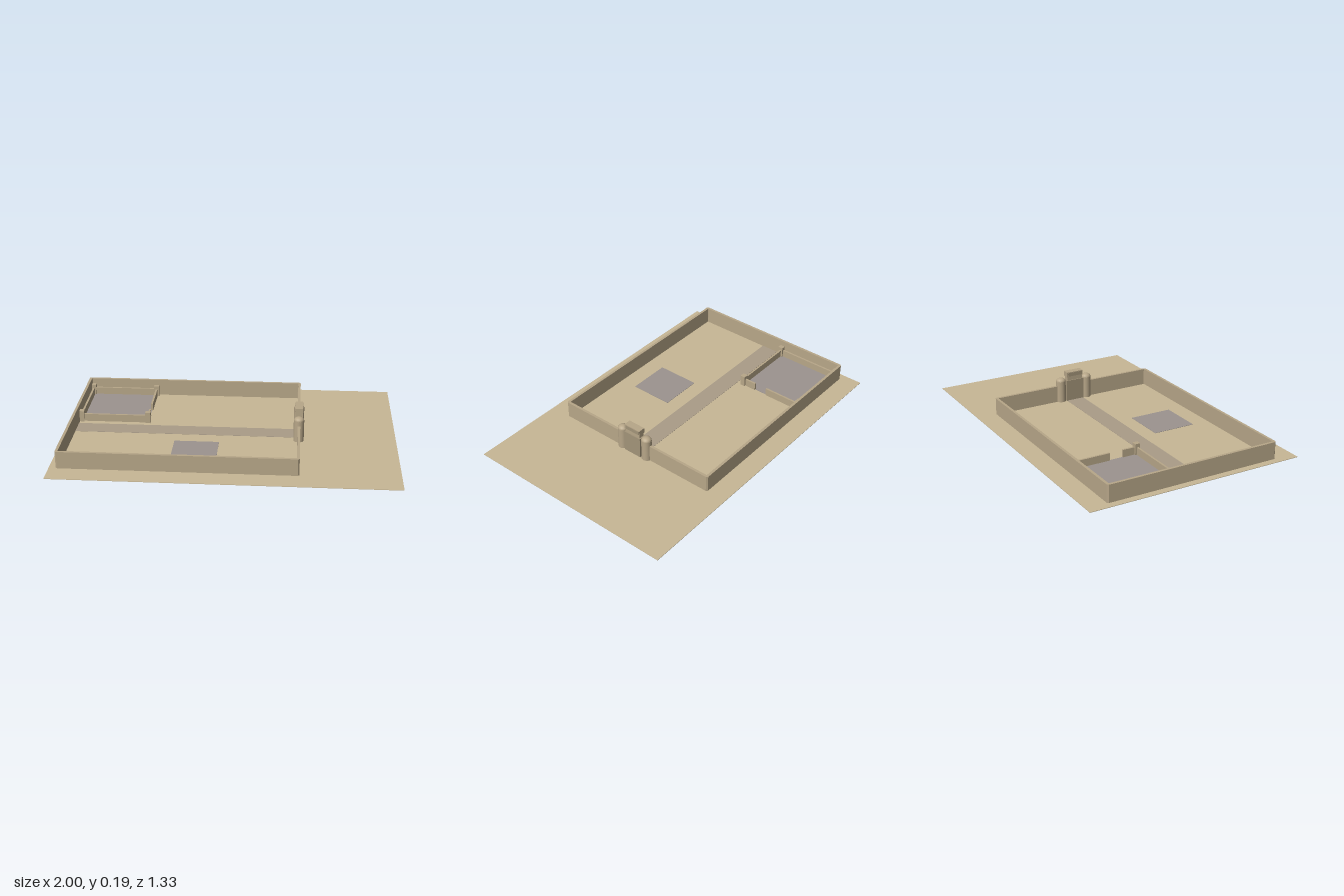
import * as THREE from 'three';

const mat = (color) => new THREE.MeshStandardMaterial({ color });

export function createModel() {
  const model = new THREE.Group();
  const sand = mat(0xc8b896), wall = mat(0xb8a789), path = mat(0xaa9c88);
  const stone = mat(0x9c948f), door = mat(0xa39479);

  function add(name, geometry, material, x, y, z, parent = model) {
    const mesh = new THREE.Mesh(geometry, material);
    mesh.name = name;
    mesh.position.set(x, y, z);
    parent.add(mesh);
    return mesh;
  }
  // box given by its x, y and z ranges
  function box(name, material, [x0, x1], [y0, y1], [z0, z1], parent) {
    return add(name, new THREE.BoxGeometry(x1 - x0, y1 - y0, z1 - z0), material,
      (x0 + x1) / 2, (y0 + y1) / 2, (z0 + z1) / 2, parent);
  }

  // ground, road and paved court
  box('ground', sand, [-1, 1], [0, 0.003], [-0.667, 0.667]);
  box('road', path, [-0.945, 0.412], [0.002, 0.0045], [-0.057, 0.057]);
  box('pavedCourt', stone, [-0.325, -0.057], [0.002, 0.005], [0.15, 0.418]);

  // outer wall: a ring with cut corners
  const outline = (Ctor, x0, x1, z, c) => new Ctor([
    [x0 + c, -z], [x1 - c, -z], [x1, -z + c], [x1, z - c],
    [x1 - c, z], [x0 + c, z], [x0, z - c], [x0, -z + c],
  ].map(([x, y]) => new THREE.Vector2(x, y)));
  const ring = outline(THREE.Shape, -0.96, 0.425, 0.542, 0.009);
  ring.holes.push(outline(THREE.Path, -0.944, 0.409, 0.526, 0.002));
  const ringGeo = new THREE.ExtrudeGeometry(ring, { depth: 0.105, bevelEnabled: false });
  ringGeo.rotateX(-Math.PI / 2);
  add('outerWall', ringGeo, wall, 0, 0.002, 0);

  // gatehouse: door block, lintel and two domed round towers
  const gate = new THREE.Group();
  gate.name = 'gatehouse';
  model.add(gate);
  const gx = 0.417;
  box('gateDoor', door, [gx - 0.024, gx + 0.024], [0.002, 0.138], [-0.06, 0.06], gate);
  box('gateUpper', wall, [gx - 0.018, gx + 0.018], [0.138, 0.162], [-0.052, 0.052], gate);
  box('gateLintel', wall, [gx - 0.022, gx + 0.022], [0.16, 0.192], [-0.056, 0.056], gate);
  box('gatePanel', door, [gx - 0.024, gx + 0.024], [0.165, 0.188], [-0.049, 0.049], gate);
  for (const s of [-1, 1]) {
    add('gateTower', new THREE.CylinderGeometry(0.031, 0.031, 0.134, 20), wall, gx, 0.069, s * 0.09, gate);
    const dome = add('towerDome',
      new THREE.SphereGeometry(0.031, 16, 6, 0, Math.PI * 2, 0, Math.PI / 2), wall, gx, 0.136, s * 0.09, gate);
    dome.scale.y = 0.7;
  }

  // inner enclosure in the back corner, open on its left side
  const yard = new THREE.Group();
  yard.name = 'innerEnclosure';
  model.add(yard);
  const x0 = -0.932, x1 = -0.517, z0 = -0.515, z1 = -0.1, t = 0.006, h = [0.002, 0.05];
  box('yardFloor', stone, [x0, x1], [0.002, 0.005], [z0, z1], yard);
  for (const z of [z0, z1]) box('yardWall', wall, [x0, x1], h, [z - t, z + t], yard);
  box('yardWall', wall, [x0 - t, x0 + t], h, [z0, z1], yard);
  box('yardWall', wall, [x1 - t, x1 + t], h, [z0, -0.273], yard);
  box('yardWall', wall, [x1 - t, x1 + t], h, [-0.19, z1], yard);
  for (const x of [x0, x1]) for (const z of [z0, z1])
    box('yardPost', wall, [x - 0.016, x + 0.016], [0.002, 0.072], [z - 0.016, z + 0.016], yard);

  return model;
}
